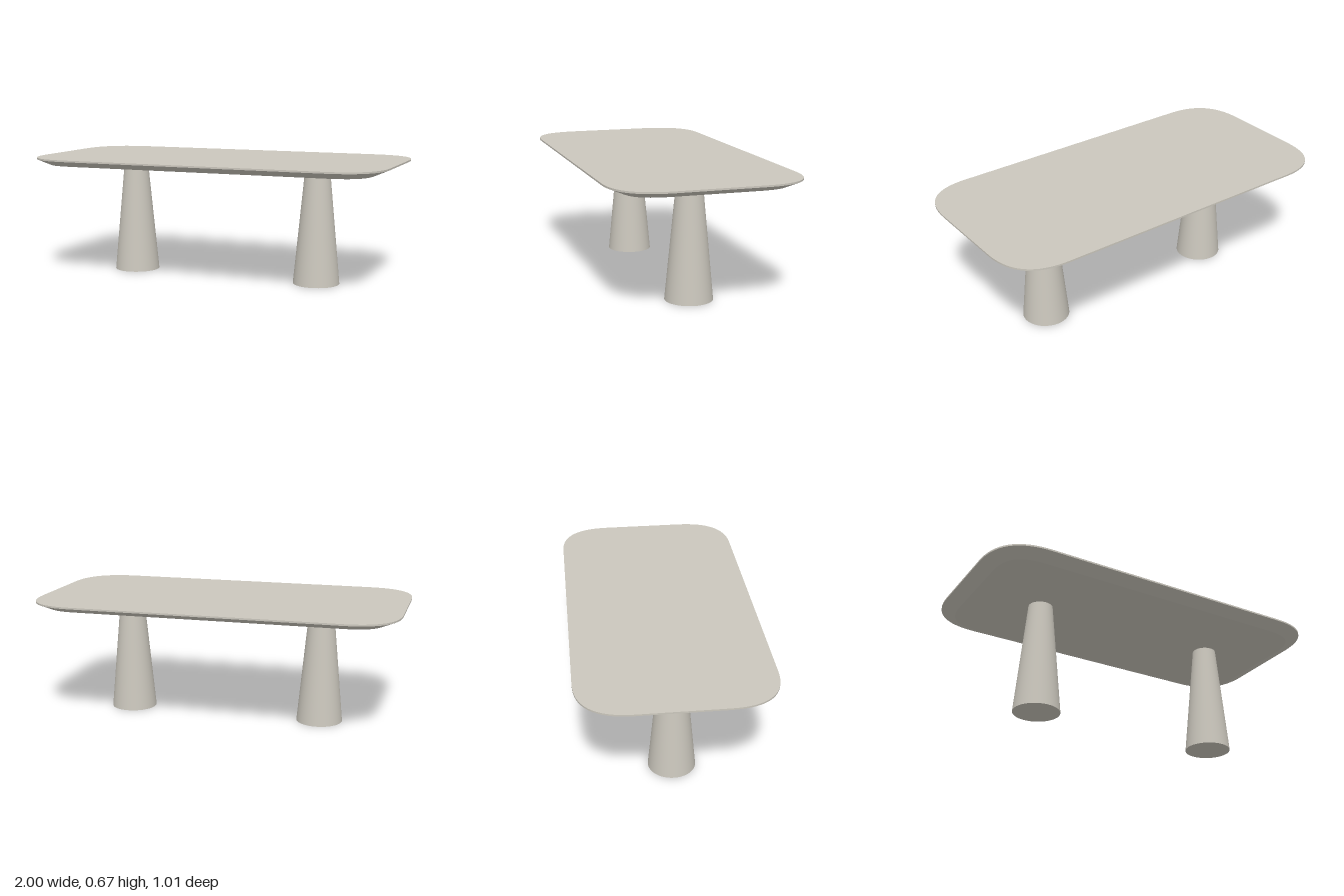
import * as THREE from 'three';

const HALF_X = 1, HALF_Z = 0.505, CORNER = 0.28, STEPS = 16;
const Y_TOP = 0.67, Y_RIM = 0.661, Y_UNDER = 0.628;

// Softly squared table outline, moved inward by inset, as [x, z] points
function outline(inset) {
  const points = [];
  for (const [sx, sz] of [[1, 1], [-1, 1], [-1, -1], [1, -1]]) {
    for (let i = 0; i <= STEPS; i++) {
      const t = sx * sz > 0 ? i / STEPS : 1 - i / STEPS;
      const len = Math.hypot(1 - t, t);
      const x = HALF_X - CORNER * t * t - inset * (1 - t) / len;
      const z = HALF_Z - CORNER * (1 - t) * (1 - t) - inset * t / len;
      points.push([sx * x, sz * z]);
    }
  }
  return points;
}

function buildGeometry(positions, index) {
  const geometry = new THREE.BufferGeometry();
  geometry.setAttribute('position', new THREE.Float32BufferAttribute(positions, 3));
  geometry.setIndex(index);
  geometry.computeVertexNormals();
  return geometry;
}

// Wall between a lower and an upper outline
function band(lower, yLower, upper, yUpper) {
  const n = lower.length, positions = [], index = [];
  lower.forEach(([x, z]) => positions.push(x, yLower, z));
  upper.forEach(([x, z]) => positions.push(x, yUpper, z));
  for (let i = 0; i < n; i++) {
    const j = (i + 1) % n;
    index.push(i, n + i, j, j, n + i, n + j);
  }
  return buildGeometry(positions, index);
}

// Flat face filling an outline
function cap(points, y, up) {
  const n = points.length, positions = [0, y, 0], index = [];
  points.forEach(([x, z]) => positions.push(x, y, z));
  for (let i = 0; i < n; i++) {
    const a = i + 1, b = (i + 1) % n + 1;
    index.push(0, up ? b : a, up ? a : b);
  }
  return buildGeometry(positions, index);
}

export function createModel() {
  const model = new THREE.Group();
  model.name = 'table';
  const stone = new THREE.MeshStandardMaterial({ color: 0xcbc7bd });
  stone.name = 'warmGrey';

  const add = (parent, name, geometry) => {
    const mesh = new THREE.Mesh(geometry, stone);
    mesh.name = name;
    parent.add(mesh);
    return mesh;
  };

  // Tabletop with a thin rim and a chamfered underside
  const tabletop = new THREE.Group();
  tabletop.name = 'tabletop';
  model.add(tabletop);
  const outer = outline(0), inner = outline(0.077);
  add(tabletop, 'topSurface', cap(outer, Y_TOP, true));
  add(tabletop, 'rim', band(outer, Y_RIM, outer, Y_TOP));
  add(tabletop, 'chamfer', band(inner, Y_UNDER, outer, Y_RIM));
  add(tabletop, 'underside', cap(inner, Y_UNDER, false));

  // Two tapered round pedestals
  const legGeometry = new THREE.CylinderGeometry(0.067, 0.127, Y_UNDER, 48);
  for (const [name, x] of [['rightLeg', -0.54], ['leftLeg', 0.555]]) {
    add(model, name, legGeometry).position.set(x, Y_UNDER / 2, 0.004);
  }
  return model;
}
